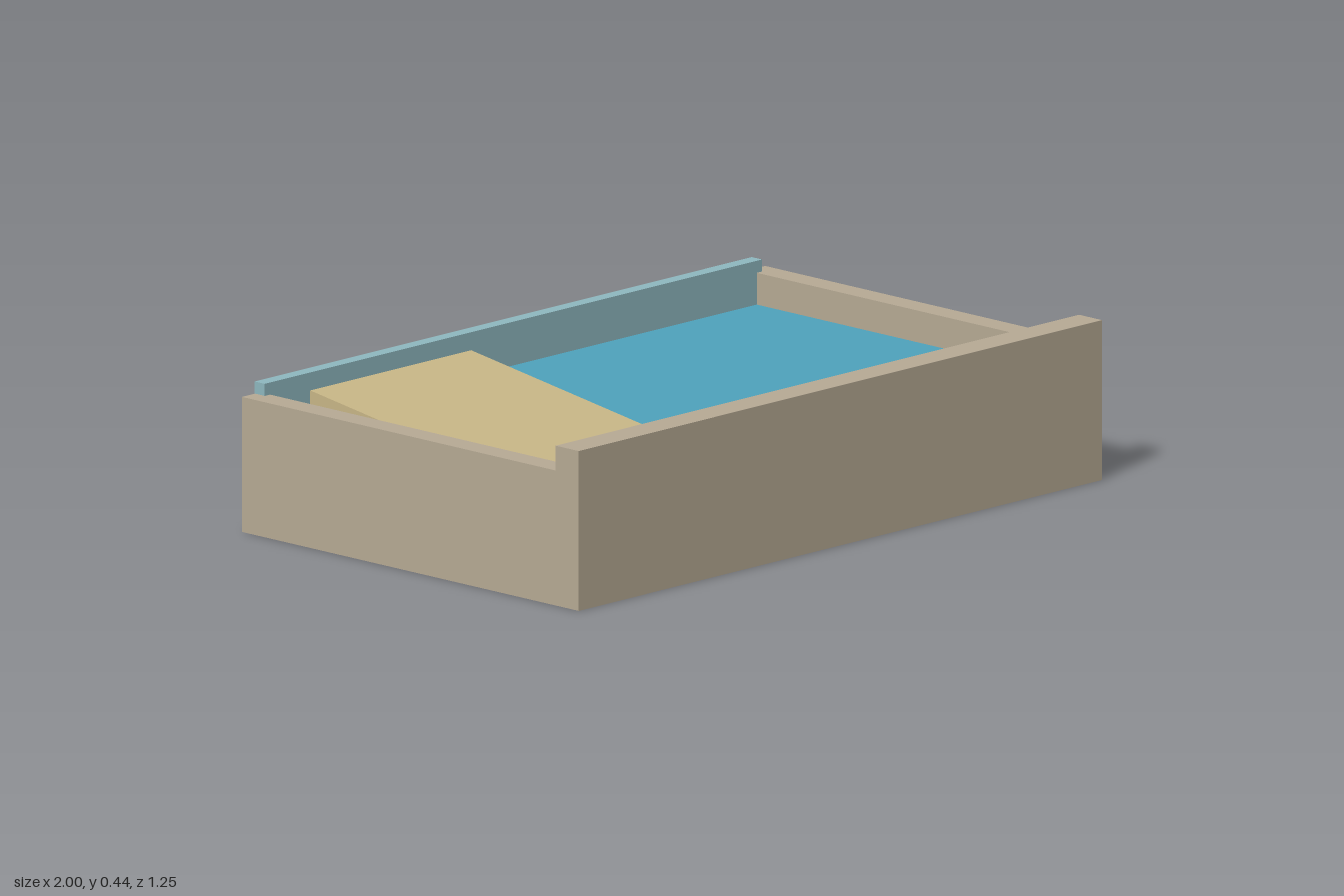
import * as THREE from 'three';

export function createModel() {
  const model = new THREE.Group();
  const paint = (name, color) => {
    const m = new THREE.MeshStandardMaterial({ color });
    m.name = name;
    return m;
  };
  const stone = paint('stone', 0xb8ab95);
  const sand = paint('sand', 0xc9b787);
  const water = paint('water', 0x4fa3bd);
  const glass = paint('glass', 0x8fb9c0);

  // Box given by its low and high corners
  const box = (name, mat, [x0, y0, z0], [x1, y1, z1]) => {
    const mesh = new THREE.Mesh(new THREE.BoxGeometry(x1 - x0, y1 - y0, z1 - z0), mat);
    mesh.position.set((x0 + x1) / 2, (y0 + y1) / 2, (z0 + z1) / 2);
    mesh.name = name;
    model.add(mesh);
  };
  const D = 0.623;      // half depth
  const floorTop = 0.05;
  const waterTop = 0.283;

  // Basin: floor, tall front wall, lower side walls
  box('floor', stone, [-1, 0, -D], [1, floorTop, D]);
  box('frontWall', stone, [-1, floorTop, 0.538], [1, 0.438, D]);
  box('rightWall', stone, [-1, floorTop, -D], [-0.93, 0.37, 0.538]);
  box('leftWall', stone, [0.93, floorTop, -D], [1, 0.37, 0.538]);

  // Glass back panel, just proud of the wall ends
  box('glassPanel', glass, [-0.95, floorTop, -D - 0.0015], [0.95, 0.403, -0.587]);

  // Water filling the basin
  box('water', water, [-0.93, floorTop, -0.587], [0.93, waterTop, 0.538]);

  // Sloping beach that dips under the water toward the front (profile in -z, y)
  const slope = (0.403 - waterTop) / 0.82;
  const profile = new THREE.Shape([
    new THREE.Vector2(-0.5, floorTop),
    new THREE.Vector2(0.45, floorTop),
    new THREE.Vector2(0.45, 0.403),
    new THREE.Vector2(-0.5, 0.403 - slope * 0.95),
  ]);
  const beach = new THREE.Mesh(
    new THREE.ExtrudeGeometry(profile, { depth: 0.615, bevelEnabled: false }), sand);
  beach.rotation.y = Math.PI / 2;
  beach.position.x = -0.918;
  beach.name = 'beachRamp';
  model.add(beach);

  return model;
}
